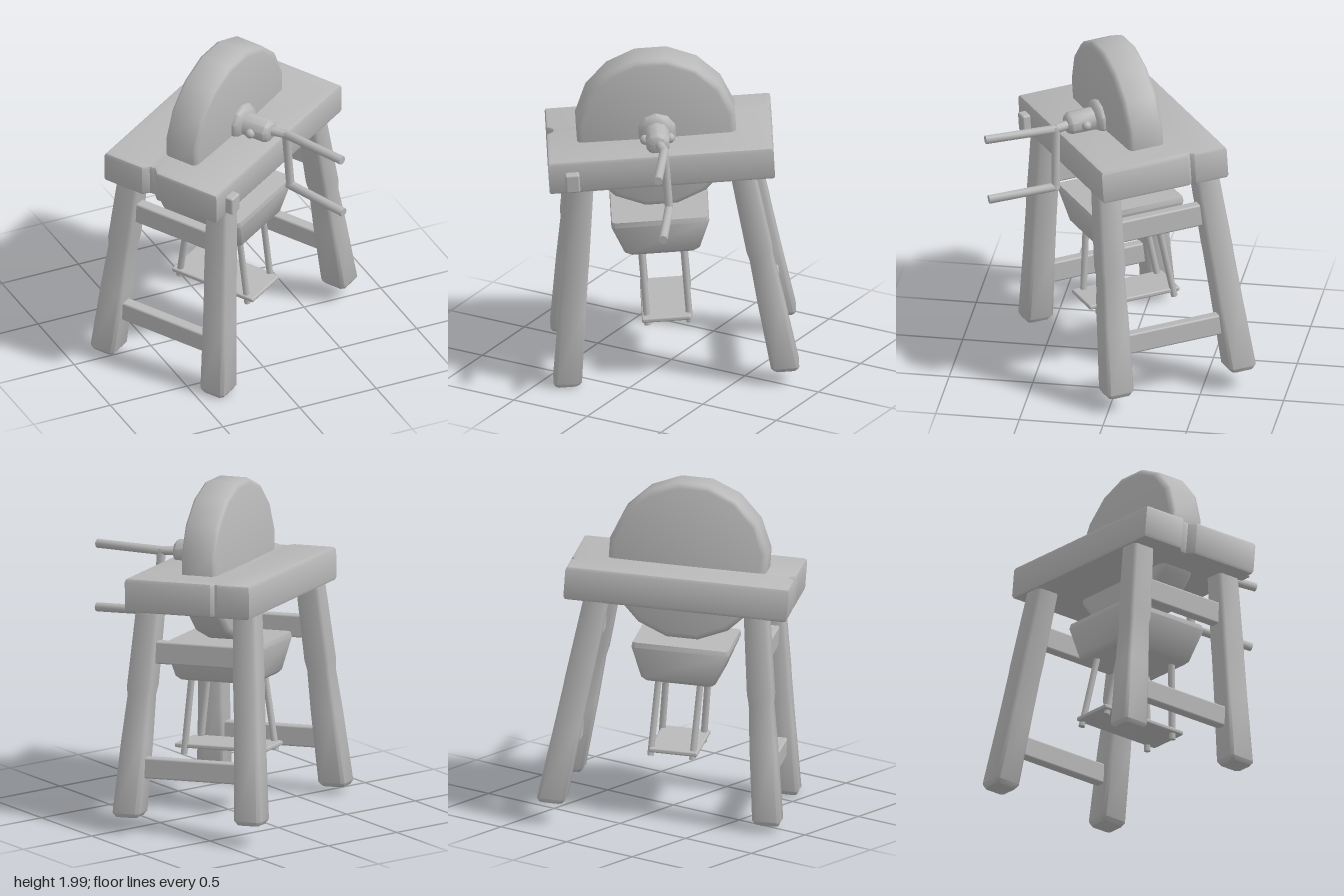
import * as THREE from 'three';
import { toCreasedNormals } from 'three/addons/utils/BufferGeometryUtils.js';
import { RoundedBoxGeometry } from 'three/addons/geometries/RoundedBoxGeometry.js';

// Loft through chamfered rectangles [x, y, z, halfWidth, halfDepth], bottom to top.
function chamferedLoft(sections, chamfer) {
  const pos = [], index = [];
  for (const [x, y, z, w, d] of sections) {
    const c = chamfer;
    const ring = [[w, -d + c], [w, d - c], [w - c, d], [-w + c, d], [-w, d - c], [-w, -d + c], [-w + c, -d], [w - c, -d]];
    for (const [dx, dz] of ring) pos.push(x + dx, y, z + dz);
  }
  const last = (sections.length - 1) * 8;
  for (let i = 0; i < last; i += 8) {
    for (let j = 0; j < 8; j++) {
      const a = i + j, b = i + (j + 1) % 8;
      index.push(a, a + 8, b, b, a + 8, b + 8);
    }
  }
  for (let j = 1; j < 7; j++) index.push(0, j, j + 1, last, last + j + 1, last + j);
  const geo = new THREE.BufferGeometry();
  geo.setAttribute('position', new THREE.Float32BufferAttribute(pos, 3));
  geo.setIndex(index);
  return toCreasedNormals(geo, 0.9);
}

export function createModel() {
  const grey = new THREE.MeshStandardMaterial({ color: 0xb8b8b8 });
  grey.name = 'plain grey';

  // Local frame: origin at the middle of the table top, x along the table.
  const stand = new THREE.Group();
  stand.name = 'grindstoneStand';
  stand.position.set(-0.055, 1.5, 0.055);
  stand.rotation.set(0.04, 0.541, 0.068, 'YZX');

  const add = (name, geo, x = 0, y = 0, z = 0) => {
    const mesh = new THREE.Mesh(geo, grey);
    mesh.name = name;
    mesh.position.set(x, y, z);
    stand.add(mesh);
    return mesh;
  };
  const box = (name, w, h, d, x, y, z, r = 0.012) => add(name, new RoundedBoxGeometry(w, h, d, 2, r), x, y, z);
  const rod = (name, from, to, r, sides = 8) => {
    const a = new THREE.Vector3(...from), b = new THREE.Vector3(...to);
    const dir = b.clone().sub(a);
    const geo = toCreasedNormals(new THREE.CylinderGeometry(r, r, dir.length(), sides), 0.9);
    const mesh = add(name, geo, ...a.clone().add(b).multiplyScalar(0.5).toArray());
    mesh.quaternion.setFromUnitVectors(new THREE.Vector3(0, 1, 0), dir.normalize());
    return mesh;
  };

  // Thick table top with a chipped notch in each end
  const B = 0.022;
  const outline = new THREE.Shape([
    [-0.645, -0.375], [0.645, -0.375], [0.645, -0.2], [0.622, -0.17], [0.645, -0.14], [0.645, 0.375],
    [-0.645, 0.375], [-0.645, -0.02], [-0.605, -0.06], [-0.61, -0.11], [-0.645, -0.14],
  ].map(([x, y]) => new THREE.Vector2(x, y)));
  const top = new THREE.ExtrudeGeometry(outline, {
    depth: 0.205 - 2 * B, bevelThickness: B, bevelSize: B, bevelSegments: 2,
  });
  top.rotateX(Math.PI / 2);
  add('tableTop', toCreasedNormals(top, 0.6), 0, -B, 0);

  // Splayed legs, slightly uneven along their length
  const legX = v => 0.48 + 0.165 * (-0.2 - v) / 1.22;
  const legZ = v => 0.31 + 0.08 * (-0.2 - v) / 1.22;
  for (const sx of [-1, 1]) {
    for (const sz of [-1, 1]) {
      const waist = sx * sz > 0 ? 0.07 : 0.076;
      const profile = [[-1.43, 0.068], [-1.405, 0.084], [-0.98, 0.078], [-0.72, waist], [-0.66, 0.077], [-0.12, 0.071]];
      add('leg', chamferedLoft(profile.map(([v, s]) => [sx * legX(v), v, sz * legZ(v), s, s]), 0.018));
    }
    // Rails joining the legs of each end
    box('upperRail', 0.07, 0.135, 2 * legZ(-0.46), sx * legX(-0.46), -0.46, 0);
    box('lowerRail', 0.07, 0.125, 2 * legZ(-1.14), sx * legX(-1.14), -1.14, 0);
  }
  box('peg', 0.085, 0.115, 0.12, -0.527, -0.123, 0.385);

  // Grinding wheel, faintly domed towards the axle
  const wheelProfile = [[0, -0.118], [0.445, -0.112], [0.468, -0.104], [0.48, -0.085],
    [0.48, 0.085], [0.468, 0.104], [0.445, 0.112], [0, 0.122]];
  const wheel = new THREE.LatheGeometry(wheelProfile.map(p => new THREE.Vector2(...p)), 16, Math.PI / 16);
  wheel.rotateX(Math.PI / 2);
  add('grindingWheel', toCreasedNormals(wheel, 0.75), -0.015, 0.025, 0.02);

  // Axle hub with collar and side bolts
  const hubProfile = [[0.115, 0.1], [0.115, 0.155], [0.1, 0.175], [0.075, 0.185], [0.072, 0.33], [0.055, 0.35], [0, 0.355]];
  const hub = new THREE.LatheGeometry(hubProfile.map(p => new THREE.Vector2(...p)), 10);
  hub.rotateX(Math.PI / 2);
  add('axleHub', toCreasedNormals(hub, 0.8), -0.01, 0.045, 0);
  for (const s of [-1, 1]) add('hubBolt', new THREE.SphereGeometry(0.03, 8, 6), -0.01 + s * 0.075, 0.045, 0.25);

  // Crank: axle rod, arm and lower handle
  rod('axleRod', [-0.01, 0.05, 0.3], [0.025, 0.047, 0.43], 0.028);
  rod('upperHandle', [0.025, 0.047, 0.42], [-0.02, 0.055, 0.86], 0.027);
  rod('crankArm', [0.025, 0.06, 0.43], [0.03, -0.33, 0.458], 0.026);
  rod('lowerHandle', [0.03, -0.316, 0.44], [-0.016, -0.327, 0.865], 0.027);

  // Tapered water trough under the wheel
  add('trough', chamferedLoft([
    [-0.03, -0.69, 0.03, 0.2, 0.235], [-0.03, -0.67, 0.03, 0.222, 0.255],
    [-0.03, -0.485, 0.03, 0.29, 0.292], [-0.03, -0.455, 0.03, 0.285, 0.287],
  ], 0.02));

  // Treadle plate hung from four rods
  box('treadlePlate', 0.29, 0.028, 0.575, -0.035, -1.1, 0.037, 0.01);
  for (const x of [-0.155, 0.095]) {
    rod('frontTreadleRod', [x, -0.64, 0.21], [x + 0.006, -1.15, 0.267], 0.02);
    rod('backTreadleRod', [x, -0.64, -0.14], [x + 0.006, -1.14, -0.215], 0.02);
  }

  const model = new THREE.Group();
  model.name = 'grindstone';
  model.add(stand);
  return model;
}
